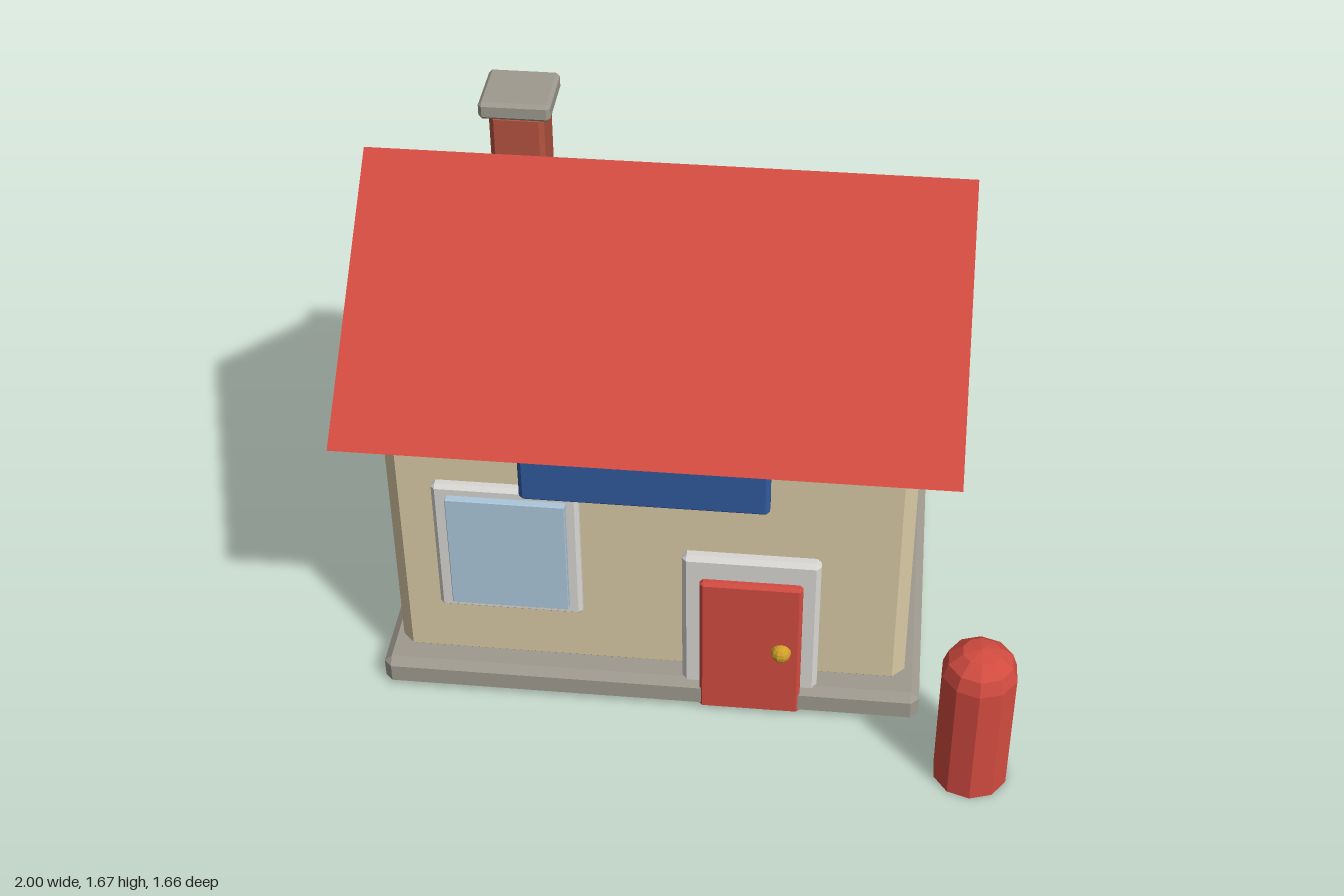
import * as THREE from 'three';
import { ConvexGeometry } from 'three/addons/geometries/ConvexGeometry.js';

const paint = (color) => new THREE.MeshStandardMaterial({ color, flatShading: true });
const red = paint(0xd14b40), cream = paint(0xd8c9a5), stone = paint(0x9e9a8f), brick = paint(0xb4533f);
const blue = paint(0x305a9c), glass = paint(0xabc7da), white = paint(0xd8d6d2), gold = paint(0xd0a02a);

export function createModel() {
  const house = new THREE.Group();
  house.name = 'house';

  const add = (name, geometry, material, x = 0, y = 0, z = 0) => {
    const mesh = new THREE.Mesh(geometry, material);
    mesh.name = name;
    mesh.position.set(x, y, z);
    house.add(mesh);
    return mesh;
  };

  // Box with bevelled edges, given by its limits on each axis
  const block = (name, material, [x0, x1], [y0, y1], [z0, z1], bevel) => {
    const hx = (x1 - x0) / 2, hy = (y1 - y0) / 2, hz = (z1 - z0) / 2, points = [];
    for (const sx of [-1, 1]) for (const sy of [-1, 1]) for (const sz of [-1, 1]) {
      points.push(
        new THREE.Vector3(sx * hx, sy * (hy - bevel), sz * (hz - bevel)),
        new THREE.Vector3(sx * (hx - bevel), sy * hy, sz * (hz - bevel)),
        new THREE.Vector3(sx * (hx - bevel), sy * (hy - bevel), sz * hz));
    }
    add(name, new ConvexGeometry(points), material, (x0 + x1) / 2, (y0 + y1) / 2, (z0 + z1) / 2);
  };

  // Foundation and walls
  block('foundation', stone, [-0.93, 0.73], [0, 0.107], [-0.76, 0.54], 0.024);
  block('walls', cream, [-0.877, 0.68], [0.105, 0.992], [-0.707, 0.487], 0.037);

  // Gable roof: triangle across z, extruded along x
  const gable = new THREE.Shape([
    new THREE.Vector2(-0.605, 0.99), new THREE.Vector2(0.83, 0.99), new THREE.Vector2(0.113, 1.56)]);
  const roof = new THREE.ExtrudeGeometry(gable, { depth: 1.8, bevelEnabled: false });
  roof.rotateY(Math.PI / 2);
  add('roof', roof, red, -1, 0, 0);

  // Chimney
  block('chimneyStack', brick, [-0.65, -0.485], [1.2, 1.615], [-0.402, -0.237], 0.015);
  block('chimneyCap', stone, [-0.675, -0.46], [1.612, 1.668], [-0.427, -0.212], 0.011);

  // Front fittings
  block('signBoard', blue, [-0.462, 0.262], [0.825, 1.0], [0.525, 0.577], 0.012);
  block('windowFrame', white, [-0.735, -0.3], [0.335, 0.81], [0.467, 0.517], 0.012);
  block('windowPane', glass, [-0.69, -0.337], [0.375, 0.777], [0.49, 0.54], 0.002);
  block('doorFrame', white, [0.002, 0.415], [0.01, 0.6], [0.465, 0.522], 0.014);
  block('door', red, [0.057, 0.365], [0.008, 0.522], [0.49, 0.545], 0.01);
  add('doorKnob', new THREE.SphereGeometry(0.031, 10, 8), gold, 0.305, 0.265, 0.545);

  // Ten-sided post with a domed top
  const profile = [new THREE.Vector2(0, 0), new THREE.Vector2(0.1125, 0)];
  for (let i = 0; i <= 3; i++) {
    const a = (i * Math.PI) / 6;
    profile.push(new THREE.Vector2(i === 3 ? 0 : 0.1125 * Math.cos(a), 0.417 + 0.09 * Math.sin(a)));
  }
  add('post', new THREE.LatheGeometry(profile, 10), red, 0.89, 0, 0.718);

  return house;
}
